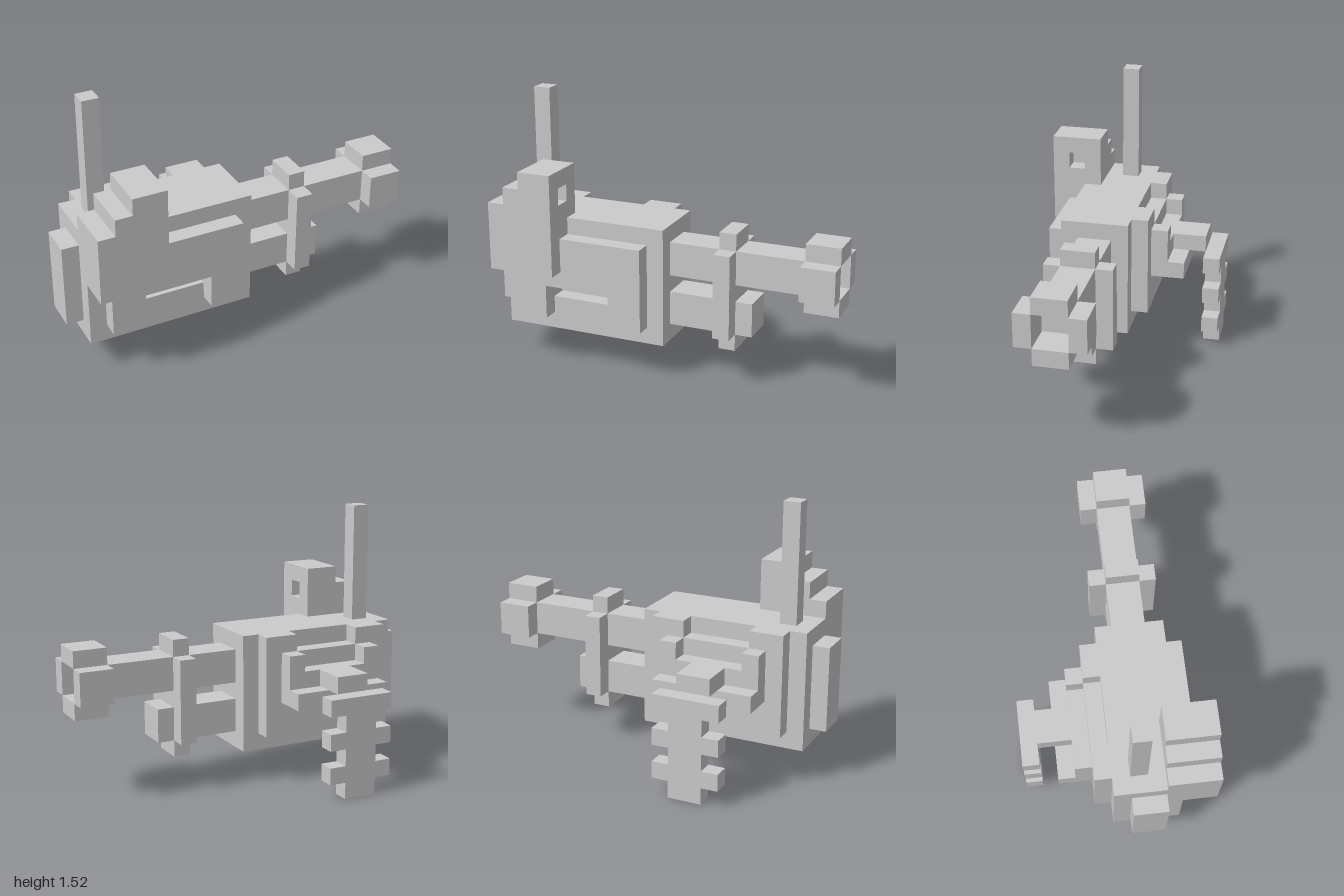
import * as THREE from 'three';

// One block unit; the model is 21 x 16 x 11 blocks.
const U = 2 / 21;

export function createModel() {
  const model = new THREE.Group();
  const material = new THREE.MeshStandardMaterial({ color: 0xcccccc, flatShading: true });

  function part(name) {
    const group = new THREE.Group();
    group.name = name;
    model.add(group);
    return group;
  }

  // Box spanning block ranges on each axis
  function box(group, x0, x1, y0, y1, z0, z1) {
    const geometry = new THREE.BoxGeometry((x1 - x0) * U, (y1 - y0) * U, (z1 - z0) * U);
    const mesh = new THREE.Mesh(geometry, material);
    mesh.name = group.name + 'Block';
    mesh.position.set(((x0 + x1) / 2 - 10.5) * U, ((y0 + y1) / 2) * U, ((z0 + z1) / 2 - 5.5) * U);
    group.add(mesh);
  }

  // Four arms around an open 2-wide core, as seen along x
  function collar(group, x0, x1, y0, y1) {
    box(group, x0, x1, y1, y1 + 1, 6, 8);
    box(group, x0, x1, y0 - 1, y0, 6, 8);
    box(group, x0, x1, y0, y1, 5, 6);
    box(group, x0, x1, y0, y1, 8, 9);
  }

  // Main housing, with a slot cut into the front
  const body = part('body');
  box(body, 1, 11, 2, 9, 5, 8);
  box(body, 1, 11, 2, 4, 8, 9);
  box(body, 1, 11, 5, 9, 8, 9);
  box(body, 1, 4, 4, 5, 8, 9);
  box(body, 8, 11, 4, 5, 8, 9);

  // Front plate with a notch at its lower edge
  const frontPlate = part('frontPlate');
  box(frontPlate, 2, 10, 5, 8, 9, 10);
  box(frontPlate, 2, 4, 3, 5, 9, 10);
  box(frontPlate, 8, 10, 3, 5, 9, 10);

  // Back plate with a notch at its upper edge
  const backPlate = part('backPlate');
  box(backPlate, 2, 10, 3, 8, 4, 5);
  box(backPlate, 2, 4, 8, 9, 4, 5);
  box(backPlate, 8, 10, 8, 9, 4, 5);

  // End cap and antenna
  box(part('endCap'), 0, 1, 3, 8, 6, 8);
  box(part('antenna'), 2, 3, 9, 16, 6, 7);

  // Stepped sight box with a square socket facing the muzzle
  const sight = part('sight');
  box(sight, 1, 5, 6, 10, 8, 11);
  box(sight, 2, 4, 10, 11, 8, 11);
  box(sight, 3, 5, 11, 12, 8, 11);
  box(sight, 4, 5, 10, 11, 8, 9);
  box(sight, 4, 5, 10, 11, 10, 11);

  // Barrel, lower tube and the bracket joining them
  box(part('barrel'), 11, 19, 6, 8, 6, 8);
  box(part('lowerTube'), 11, 16, 3, 5, 6, 8);
  const bracket = part('bracket');
  collar(bracket, 14, 15, 3, 8);
  box(bracket, 14, 15, 5, 6, 6, 8);

  // Hollow muzzle
  collar(part('muzzle'), 19, 21, 6, 8);

  // Back cradle: side posts, base and stepped ledge
  const cradle = part('cradle');
  box(cradle, 3, 9, 5, 6, 2, 4);
  box(cradle, 3, 4, 6, 8, 3, 4);
  box(cradle, 8, 9, 6, 8, 3, 4);
  box(cradle, 4, 8, 6, 7, 3, 4);

  // Neck reaching back to the key
  box(part('neck'), 5, 7, 6, 7, 1, 3);

  // Toothed key plate hanging at the back
  const key = part('key');
  box(key, 5, 7, 0, 6, 0, 1);
  for (const y of [1, 3, 5]) {
    box(key, 4, 5, y, y + 1, 0, 1);
    box(key, 7, 8, y, y + 1, 0, 1);
  }

  return model;
}
